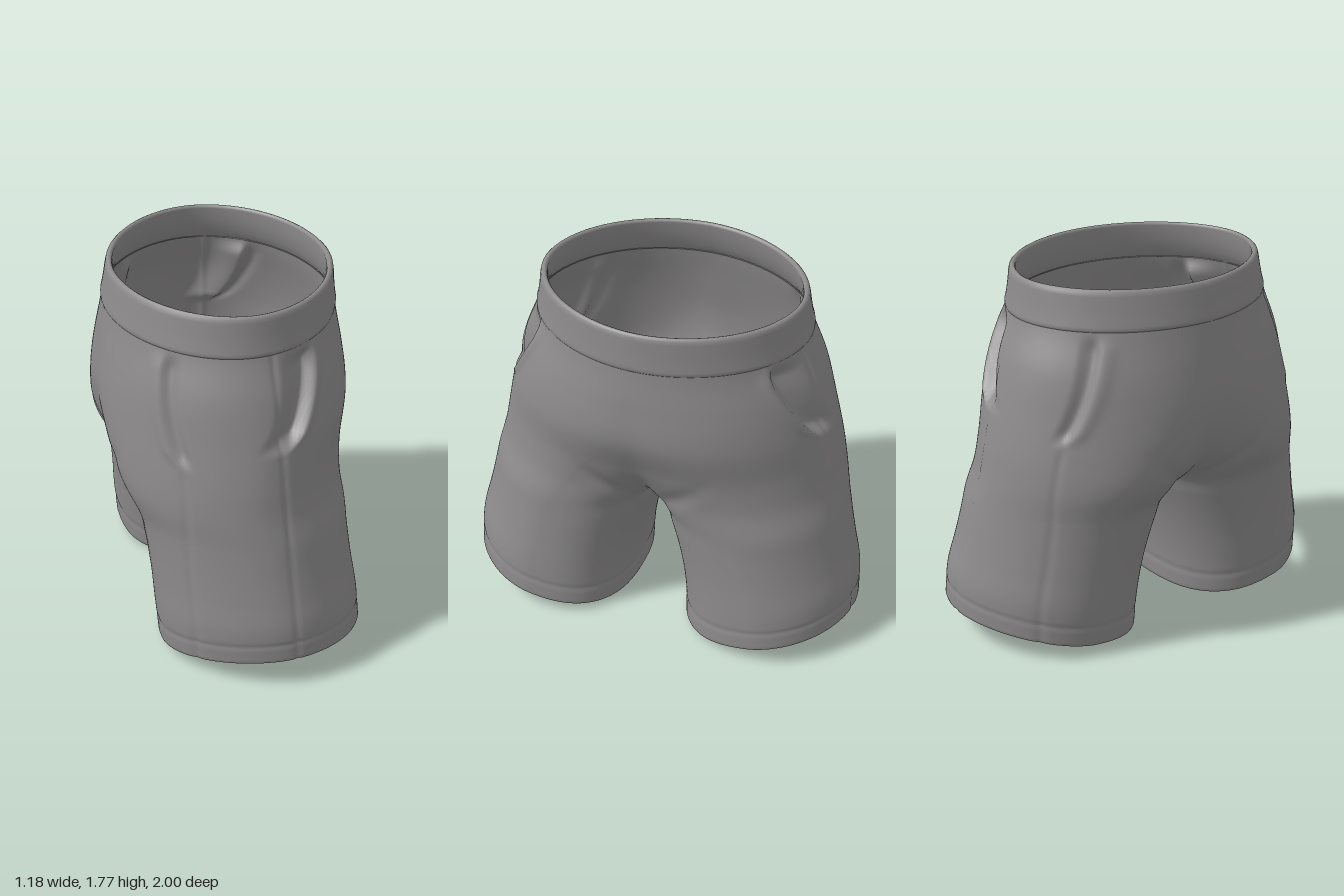
import * as THREE from 'three';
import { mergeVertices } from 'three/addons/utils/BufferGeometryUtils.js';

const CROTCH = 0.71;
// Sections: height, front x, back x, outer z, inner z (negative = past the middle),
// squareness of the outer and of the inner side
const SECTIONS = [
  [0.0, 0.565, -0.41, 0.998, 0.15, 1.85, 2.5],
  [0.2, 0.55, -0.425, 0.99, 0.14, 1.83, 2.5],
  [0.4, 0.53, -0.435, 0.96, 0.105, 1.8, 2.5],
  [0.6, 0.515, -0.455, 0.925, 0.046, 1.8, 2.5],
  [CROTCH, 0.51, -0.475, 0.903, 0, 1.8, 2.5],
  [0.85, 0.505, -0.54, 0.873, -0.19, 1.8, 2.4],
  [1.0, 0.53, -0.575, 0.845, -0.42, 1.83, 2.3],
  [1.2, 0.585, -0.59, 0.797, -0.66, 1.9, 2.2],
  [1.4, 0.575, -0.57, 0.74, -0.72, 1.95, 2.1],
  [1.6, 0.548, -0.54, 0.662, -0.662, 1.93, 1.93],
  [1.8, 0.533, -0.508, 0.63, -0.63, 1.9, 1.9],
];

// Smooth interpolation through the rows of a table, keyed by the first column
function sample(table, y) {
  const n = table.length;
  let i = 0;
  while (i < n - 2 && y >= table[i + 1][0]) i++;
  const a = table[i], b = table[i + 1], h = b[0] - a[0];
  const t = THREE.MathUtils.clamp((y - a[0]) / h, 0, 1);
  const slope = (j, k) => {
    const p = table[Math.max(j - 1, 0)], q = table[Math.min(j + 1, n - 1)];
    return (q[k] - p[k]) / (q[0] - p[0]);
  };
  return a.map((_, k) =>
    a[k] * (1 + 2 * t) * (1 - t) ** 2 + b[k] * t * t * (3 - 2 * t) +
    h * (slope(i, k) * t * (1 - t) ** 2 + slope(i + 1, k) * t * t * (t - 1)));
}

const bell = (d, w) => Math.exp(-((d / w) ** 2));
const { smoothstep } = THREE.MathUtils;

// Edges of the pocket openings: height, x
const FRONT_POCKET = [[1.15, 0.13], [1.22, 0.205], [1.3, 0.25], [1.4, 0.285], [1.5, 0.3], [1.6, 0.285]];
const BACK_POCKET = [[1.07, -0.325], [1.18, -0.36], [1.32, -0.38], [1.45, -0.375], [1.6, -0.345]];

// A pocket mouth: raised lip on one side of the edge, recess on the other (dir +1: toward -x)
function pocket(edge, x, y, dir, width, depth) {
  const low = edge[0][0];
  if (y < low) return 0;
  const d = (sample(edge, y)[1] - x) * dir;
  const recess = smoothstep(d, -0.012, 0.016) * (1 - smoothstep(d, 0.016, width));
  const fade = smoothstep(y, low, low + 0.08) * (1 - smoothstep(y, 1.5, 1.59));
  return (0.01 * bell(d + 0.025, 0.025) - depth * recess) * fade;
}

// Cloth relief: hem fold, crotch folds, side seams and pockets
function relief(x, y, z, v, outside) {
  let d = -0.004 * bell(v - 0.105, 0.014);
  d -= 0.014 * bell(y - 0.72 - 0.75 * z, 0.06) * smoothstep(z, 0.04, 0.12) * (1 - smoothstep(z, 0.15, 0.42));
  if (outside) {
    d -= 0.006 * bell(x - 0.16 + 0.04 * y, 0.014);
    d -= 0.006 * bell(x + 0.29 + 0.035 * y, 0.014) * (1 - smoothstep(y, 1.02, 1.12));
    d += pocket(FRONT_POCKET, x, y, 1, 0.19, 0.05);
    d += pocket(BACK_POCKET, x, y, -1, 0.07, 0.024);
  }
  return d;
}

// One point of the left half; u runs from the front middle around the side to the back middle
function clothPoint(u, v, offset, detailed) {
  const [, xf, xb, zo, zi, nOut, nIn] = sample(SECTIONS, v);
  const cx = (xf + xb) / 2, rx = (xf - xb) / 2, cz = (zo + zi) / 2, rz = (zo - zi) / 2;
  const start = -Math.asin(Math.min(1, Math.max(0, cz / rz)) ** (nIn / 2));
  const a = start + (Math.PI - 2 * start) * u;
  const c = Math.cos(a), s = Math.sin(a), n = s > 0 ? nOut : nIn;
  let x = cx + rx * Math.sign(c) * Math.abs(c) ** (2 / n);
  let z = cz + rz * Math.sign(s) * Math.abs(s) ** (2 / n);
  // legs are widest a little ahead of the middle
  x += 0.03 * Math.max(0, s) ** 2 * (1 - smoothstep(v, 0.9, 1.5));

  // round off the fold in the middle
  const soft = 0.04 * smoothstep(v, 0.7, 0.95) * (1 - smoothstep(v, 1.3, 1.55));
  z = Math.max(z, 0);
  z = Math.sqrt(z * z + 2 * soft * z) - soft * z / zo;

  // hem rises toward the outside
  const lift = 0.01 + 0.135 * Math.max(0, (z - 0.14) / 0.86) ** 1.2 + 0.035 * x;
  const y = v + lift * (1 - smoothstep(v, 0, 0.65));

  const d = offset + (detailed ? relief(x, y, z, v, s > 0.25) : 0);
  const nx = c / rx, nz = s / rz, len = Math.hypot(nx, nz);
  x += d * nx / len;
  z = Math.max(0, z + d * nz / len);
  if (v >= CROTCH && (u === 0 || u === 1)) z = 0;
  return [x, y, z];
}

// Sweep rows of [height, offset] around the left half and mirror them to the right
function clothGeometry(rows, columns, detailed) {
  const pos = [], index = [];
  for (const side of [1, -1]) {
    const base = pos.length / 3;
    rows.forEach(([v, offset], r) => {
      for (let i = 0; i <= columns; i++) {
        const [x, y, z] = clothPoint(i / columns, v, offset, detailed);
        pos.push(x, y, z * side);
        if (r === 0 || i === 0) continue;
        const b = base + r * (columns + 1) + i, a = b - 1;
        const p = a - columns - 1, q = b - columns - 1;
        if (side > 0) index.push(p, a, q, q, a, b);
        else index.push(p, q, a, q, b, a);
      }
    });
  }
  const geo = new THREE.BufferGeometry();
  geo.setAttribute('position', new THREE.Float32BufferAttribute(pos, 3));
  geo.setIndex(index);
  const merged = mergeVertices(geo, 1e-5);
  merged.computeVertexNormals();
  return merged;
}

export function createModel() {
  const cloth = new THREE.MeshStandardMaterial({ color: 0x8c8a8a, side: THREE.DoubleSide });
  cloth.name = 'grey cloth';
  const group = new THREE.Group();
  group.name = 'shorts';
  const add = (name, geometry) => {
    const mesh = new THREE.Mesh(geometry, cloth);
    mesh.name = name;
    group.add(mesh);
  };

  // Body and legs, with the hems turned inside
  const rows = [[0.3, -0.001], [0.2, -0.01], [0.1, -0.018], [0.012, -0.022], [0.003, -0.018], [0, -0.011], [0.003, -0.003]];
  const lower = 58, upper = 76;
  for (let i = 0; i < lower; i++) rows.push([0.012 + (CROTCH - 0.012) * (i / lower), 0]);
  for (let i = 0; i <= upper; i++) rows.push([CROTCH + 0.9 * (i / upper) ** 1.4, 0]);
  add('bodyAndLegs', clothGeometry(rows, 190, true));

  // Waistband with rounded edges and an inner face that runs into the body
  add('waistband', clothGeometry([
    [1.588, -0.006], [1.593, 0.001], [1.602, 0.005], [1.615, 0.007], [1.64, 0.005], [1.7, 0.004], [1.75, 0.004],
    [1.768, 0.002], [1.776, -0.005], [1.779, -0.013], [1.775, -0.022], [1.765, -0.028],
    [1.7, -0.028], [1.64, -0.022], [1.6, -0.008], [1.59, -0.002],
  ], 80, false));

  return group;
}
